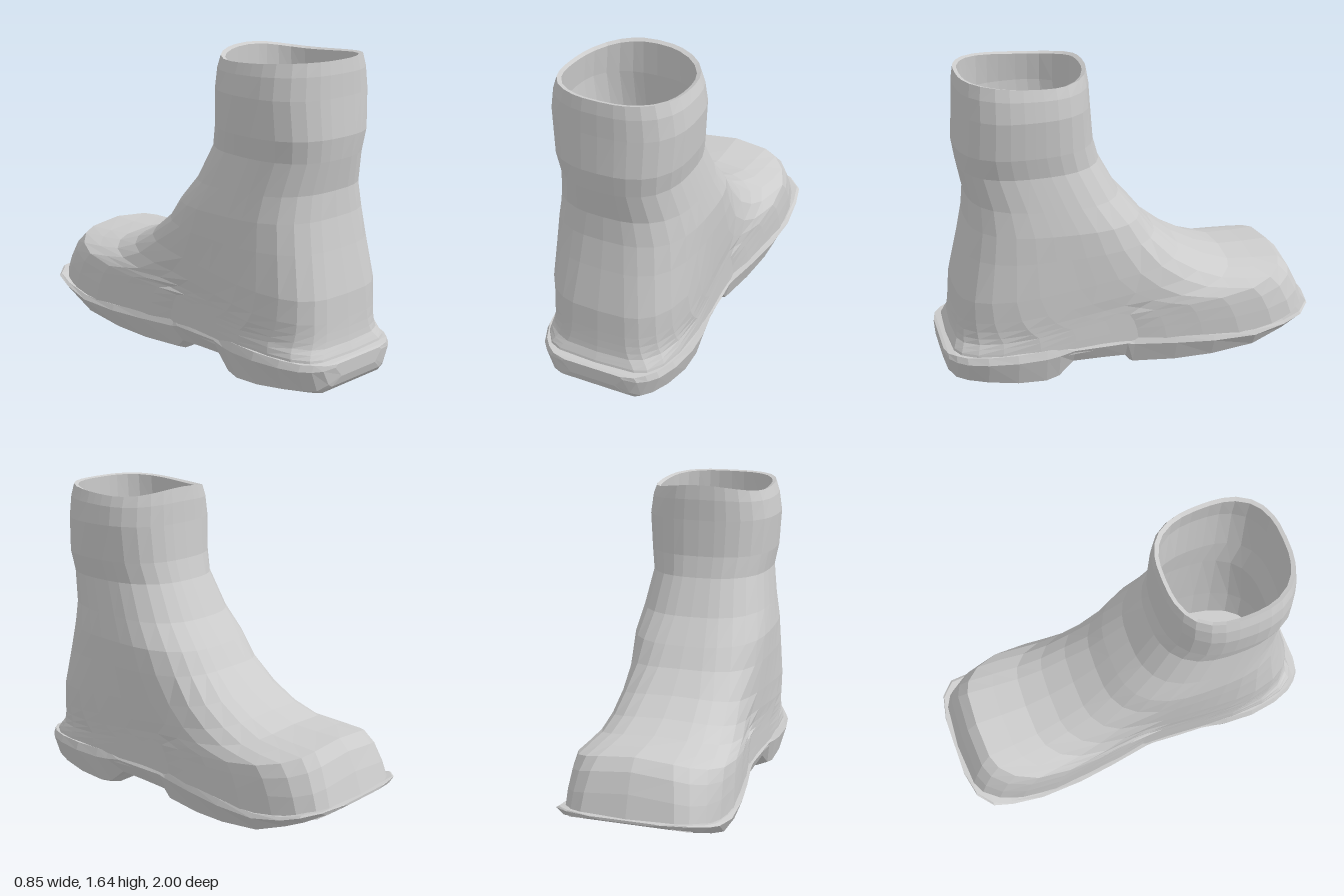
import * as THREE from 'three';

const material = new THREE.MeshStandardMaterial({ color: 0xcccccc, flatShading: true, side: THREE.DoubleSide });

// Skin a list of closed rings, with optional fan caps
function loft(name, rings, capStart = false, capEnd = false) {
  const n = rings[0].length;
  const positions = rings.flat(2);
  const index = [];
  for (let i = 0; i < rings.length - 1; i++) {
    for (let j = 0; j < n; j++) {
      const k = (j + 1) % n;
      const a = i * n + j, b = i * n + k, c = (i + 1) * n + k, d = (i + 1) * n + j;
      index.push(a, b, c, a, c, d);
    }
  }
  const cap = (i, flip) => {
    const centre = positions.length / 3;
    for (let q = 0; q < 3; q++) positions.push(rings[i].reduce((t, p) => t + p[q], 0) / n);
    for (let j = 0; j < n; j++) {
      const a = i * n + j, b = i * n + (j + 1) % n;
      index.push(centre, flip ? b : a, flip ? a : b);
    }
  };
  if (capStart) cap(0, true);
  if (capEnd) cap(rings.length - 1, false);
  const geometry = new THREE.BufferGeometry();
  geometry.setAttribute('position', new THREE.Float32BufferAttribute(positions, 3));
  geometry.setIndex(index);
  geometry.computeVertexNormals();
  const mesh = new THREE.Mesh(geometry, material);
  mesh.name = name;
  return mesh;
}

// Half width of the foot along z, heel to toe
const plan = [[1, 0.365], [0.6, 0.378], [0.2, 0.348], [0, 0.338], [-0.2, 0.375], [-0.6, 0.415], [-1, 0.4]];
function footWidth(z) {
  const i = plan.findIndex(([zEnd]) => zEnd <= z);
  const [z0, w0] = plan[i - 1], [z1, w1] = plan[i];
  return w0 + (w1 - w0) * (z0 - z) / (z0 - z1);
}

// Tilted rounded ring from a heel-side point to a toe-side point.
// foot = 0 keeps a constant width, foot = 1 follows the plan of the foot.
const half = [0.15, 0.35, 0.55, 0.75, 0.88, 0.96, 0.99];
const steps = [...half.map(s => -s).reverse(), 0, ...half];
function ring([zBack, yBack, zFront, yFront, width, power, foot, crown]) {
  const point = (s, side) => {
    const t = (1 - s) / 2;
    const z = zBack + (zFront - zBack) * t;
    const dx = Math.pow(1 - Math.pow(Math.abs(s), power), 1 / power);
    const w = width * (1 - foot) + footWidth(z) * foot;
    return [side * dx * w, yBack + (yFront - yBack) * t - crown * dx * dx * t, z];
  };
  return [...steps.map(s => point(s, 1)), point(1, 1),
    ...steps.slice().reverse().map(s => point(s, -1)), point(-1, 1)];
}

export function createModel() {
  const boot = new THREE.Group();
  boot.name = 'boot';

  // Upper: shaft rings that tip forward into the instep and toe
  // columns: zBack, yBack, zFront, yFront, width, power, foot, crown
  const upper = [
    [0.84, 1.635, 0.20, 1.645, 0.315, 2.6, 0, 0.05],
    [0.85, 1.57, 0.19, 1.57, 0.335, 2.6, 0, 0.02],
    [0.855, 1.46, 0.185, 1.46, 0.35, 2.6, 0, 0],
    [0.87, 1.27, 0.17, 1.27, 0.337, 2.6, 0, 0],
    [0.855, 1.16, 0.14, 1.16, 0.318, 2.6, 0, 0],
    [0.825, 1.0, 0.04, 0.97, 0.345, 2.7, 0, 0],
    [0.835, 0.87, -0.07, 0.84, 0.365, 2.9, 0, 0],
    [0.865, 0.72, -0.15, 0.74, 0.368, 3.1, 0.2, 0.02],
    [0.915, 0.5, -0.28, 0.635, 0.372, 3.5, 0.6, 0.04],
    [0.925, 0.38, -0.42, 0.56, 0.372, 3.6, 0.8, 0.05],
    [0.93, 0.33, -0.56, 0.515, 0.372, 3.7, 1, 0.06],
    [0.935, 0.29, -0.70, 0.51, 0.372, 3.9, 1, 0.07],
    [0.94, 0.26, -0.845, 0.51, 0.372, 4.2, 1, 0.08],
    [0.95, 0.24, -0.90, 0.455, 0.372, 4.7, 1, 0.08],
    [0.96, 0.22, -0.945, 0.36, 0.372, 5.2, 1, 0.07],
    [0.975, 0.165, -0.985, 0.247, 0.372, 5.6, 1, 0.07],
  ];
  boot.add(loft('upper', upper.map(ring)));

  // Lining: thin collar lip, inner walls and insole
  const lining = [
    upper[0],
    [0.82, 1.63, 0.22, 1.635, 0.295, 2.6, 0, 0.05],
    [0.82, 1.46, 0.22, 1.46, 0.31, 2.6, 0, 0],
    [0.82, 1.16, 0.19, 1.16, 0.29, 2.6, 0, 0],
    [0.79, 0.95, 0.10, 0.95, 0.30, 2.6, 0, 0],
    [0.84, 0.5, -0.08, 0.55, 0.30, 2.6, 0, 0],
    [0.84, 0.27, -0.1, 0.27, 0.29, 2.6, 0, 0],
  ].map(ring);
  boot.add(loft('lining', lining, false, true));

  // Sole: cross-sections from heel to toe, stepped at the arch
  // columns: z, half width, bottom y, top y
  const sole = [
    [1.0, 0.17, 0.13, 0.20], [0.985, 0.24, 0.085, 0.205], [0.95, 0.285, 0.05, 0.21],
    [0.9, 0.325, 0.045, 0.21], [0.8, 0.365, 0.035, 0.215], [0.65, 0.39, 0.015, 0.22],
    [0.5, 0.385, 0, 0.22], [0.43, 0.375, 0.015, 0.22], [0.35, 0.365, 0.095, 0.215],
    [0.2, 0.358, 0.085, 0.21], [0.06, 0.348, 0.07, 0.205], [0.02, 0.348, 0.02, 0.205],
    [-0.2, 0.385, 0.018, 0.195], [-0.4, 0.412, 0.035, 0.185], [-0.63, 0.423, 0.07, 0.18],
    [-0.8, 0.41, 0.14, 0.205], [-0.9, 0.39, 0.185, 0.235], [-0.97, 0.31, 0.22, 0.25],
    [-1.0, 0.17, 0.238, 0.25],
  ];
  boot.add(loft('sole', sole.map(([z, w, bottom, top]) => {
    const h = top - bottom;
    const side = [[w - 0.015, top], [w, top - 0.2 * h], [w - 0.04, bottom + 0.13 * h], [w * 0.73, bottom]];
    return [...side.map(([x, y]) => [x, y, z]), ...side.reverse().map(([x, y]) => [-x, y, z])];
  }), true, true));

  return boot;
}
